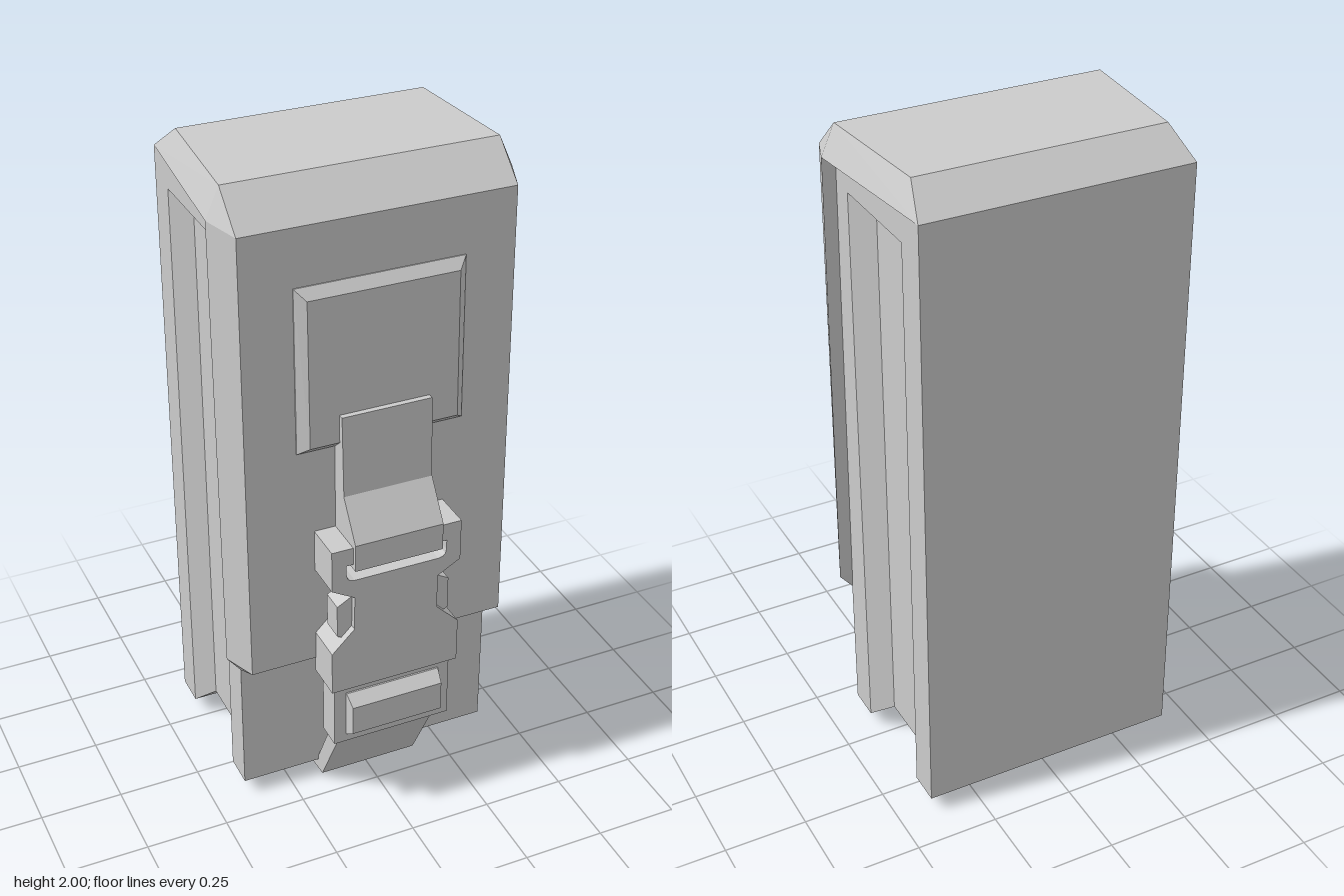
import * as THREE from 'three';
import { ConvexGeometry } from 'three/addons/geometries/ConvexGeometry.js';

const material = new THREE.MeshStandardMaterial({ color: 0xcccccc, flatShading: true });

// Convex solid from half-width points [x, y, z], mirrored over x = 0
function mirroredHull(points) {
  return new ConvexGeometry(points.flatMap(([x, y, z]) =>
    [new THREE.Vector3(x, y, z), new THREE.Vector3(-x, y, z)]));
}

// Side profile of [z, y] points, extruded across x and centred
function sideProfile(points, width) {
  const shape = new THREE.Shape(points.map(([z, y]) => new THREE.Vector2(z, y)));
  return new THREE.ExtrudeGeometry(shape, { depth: width, bevelEnabled: false })
    .rotateY(-Math.PI / 2).translate(width / 2, 0, 0);
}

// Rectangles [z, halfWidth, bottom, top] joined from front to back
function rectangleLoft(sections) {
  const positions = [], index = [];
  for (const [z, w, b, t] of sections) positions.push(w, b, z, w, t, z, -w, t, z, -w, b, z);
  for (let s = 0; s < sections.length - 1; s++) {
    for (let i = 0; i < 4; i++) {
      const a = s * 4 + i, b = s * 4 + (i + 1) % 4, c = a + 4, d = b + 4;
      index.push(a, c, b, b, c, d);
    }
  }
  const e = (sections.length - 1) * 4;
  index.push(0, 1, 2, 0, 2, 3, e, e + 2, e + 1, e, e + 3, e + 2);
  const geometry = new THREE.BufferGeometry();
  geometry.setAttribute('position', new THREE.Float32BufferAttribute(positions, 3));
  geometry.setIndex(index);
  const flat = geometry.toNonIndexed();
  flat.computeVertexNormals();
  return flat;
}

// Waisted buckle plate with a rounded slot for the strap
function bucklePlate() {
  const right = [[0.2, 0.48], [0.2, 0.62], [0.13, 0.69], [0.13, 0.8], [0.2, 0.84], [0.2, 0.97]];
  const left = right.map(([x, y]) => [-x, y]).reverse();
  const shape = new THREE.Shape([...right, ...left].map(([x, y]) => new THREE.Vector2(x, y)));
  const slot = new THREE.Path();
  slot.moveTo(-0.155, 0.915);
  slot.lineTo(-0.155, 0.885);
  slot.quadraticCurveTo(-0.155, 0.86, -0.13, 0.86);
  slot.lineTo(0.13, 0.86);
  slot.quadraticCurveTo(0.155, 0.86, 0.155, 0.885);
  slot.lineTo(0.155, 0.915);
  slot.closePath();
  shape.holes.push(slot);
  return new THREE.ExtrudeGeometry(shape, { depth: 0.12, bevelEnabled: false, curveSegments: 3 })
    .translate(0, 0, 0.24);
}

export function createModel() {
  const group = new THREE.Group();
  const add = (name, geometry) => {
    const mesh = new THREE.Mesh(geometry, material);
    mesh.name = name;
    group.add(mesh);
    return mesh;
  };

  // Case with a groove running down both sides and under the base
  add('body', rectangleLoft([
    [0.15, 0.4, 0.05, 1.83], [0.05, 0.4, 0.05, 1.83],
    [-0.02, 0.35, 0.11, 1.795], [-0.22, 0.35, 0.11, 1.795],
    [-0.28, 0.4, 0.05, 1.83], [-0.38, 0.4, 0.05, 1.83],
  ]));
  add('bodyTop', new THREE.BoxGeometry(0.8, 0.09, 0.53).translate(0, 1.875, -0.115));

  // Chamfered lid, slightly wider at the front
  add('lid', mirroredHull([
    [0.37, 2, -0.28], [0.4, 2, 0.12],
    [0.4, 1.92, -0.38], [0.44, 1.91, 0.12], [0.4, 1.9, 0.23],
  ]));

  // Front flap hanging from the lid
  add('frontFlap', mirroredHull([
    [0.44, 1.91, 0.12], [0.4, 1.9, 0.23],
    [0.44, 0.53, 0.145], [0.4, 0.53, 0.245], [0.4, 0.48, 0.15],
  ]));

  // Raised bevelled panel
  add('frontPanel', mirroredHull([
    [0.25, 1.73, 0.22], [0.25, 1.235, 0.225], [0.25, 1.73, 0.235], [0.25, 1.235, 0.242],
    [0.222, 1.7, 0.26], [0.222, 1.26, 0.27],
  ]));

  // Upper strap, stepping out over the buckle
  add('upperStrap', sideProfile([
    [0.22, 1.345], [0.285, 1.345], [0.297, 1.1], [0.375, 0.985], [0.375, 0.9], [0.24, 0.9],
  ], 0.27));

  // Buckle and its side clips
  add('buckle', bucklePlate());
  for (const side of [-1, 1]) {
    const clip = sideProfile([[0.27, 0.63], [0.34, 0.63], [0.34, 0.8], [0.27, 0.8]], 0.06);
    const p = clip.attributes.position;
    for (let i = 0; i < p.count; i++) {
      // taper the outer face
      if (p.getX(i) * side > 0) p.setY(i, 0.715 + (p.getY(i) - 0.715) * 0.6);
    }
    clip.translate(side * 0.145, 0, 0);
    add(side > 0 ? 'leftClip' : 'rightClip', clip);
  }

  // Lower adjuster block with a bevelled bar
  add('adjuster', new THREE.BoxGeometry(0.37, 0.21, 0.08).translate(0, 0.375, 0.3));
  add('adjusterBar', mirroredHull([
    [0.148, 0.45, 0.33], [0.148, 0.3, 0.33], [0.148, 0.45, 0.345], [0.148, 0.3, 0.345],
    [0.143, 0.42, 0.38], [0.143, 0.325, 0.38],
  ]));

  // Lower strap wrapping under the base
  add('lowerStrap', sideProfile([
    [0.32, 0.28], [0.26, 0.28], [0.145, 0.055], [0.045, 0.048], [-0.22, 0.108],
    [-0.28, 0.065], [0.02, 0.002], [0.18, 0.018],
  ], 0.31));

  return group;
}
